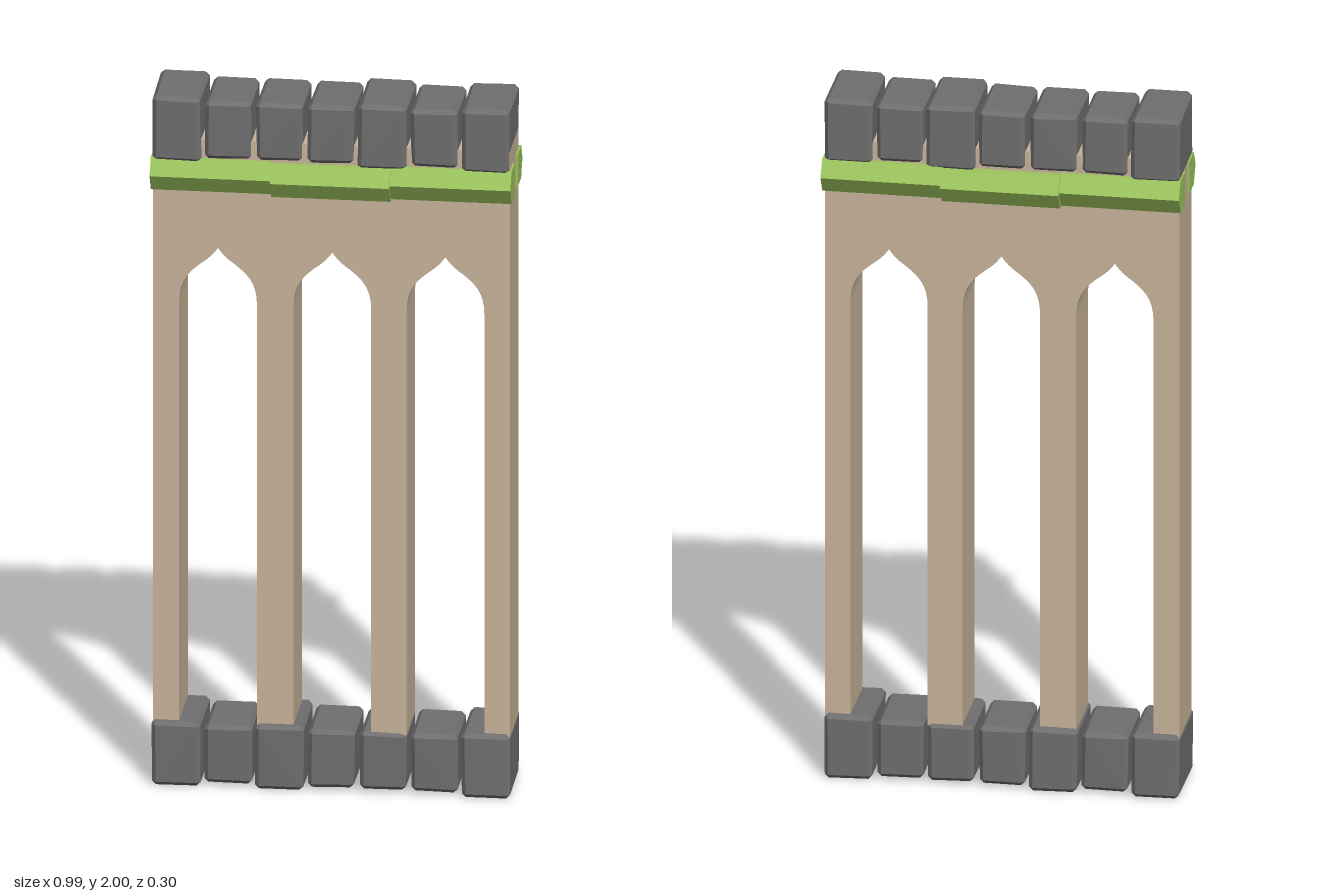
import * as THREE from 'three';
import { ConvexGeometry } from 'three/addons/geometries/ConvexGeometry.js';

const mat = (name, color) => Object.assign(new THREE.MeshStandardMaterial({ color }), { name });

export function createModel() {
  const model = new THREE.Group();
  model.name = 'archedWall';
  const sand = mat('sandstone', 0xc9b49a);
  const stone = mat('greyStone', 0x6f6f6f);
  const green = mat('greenTrim', 0x9dc45e);

  const add = (name, geometry, material, parent = model) => {
    const mesh = new THREE.Mesh(geometry, material);
    mesh.name = name;
    parent.add(mesh);
    return mesh;
  };

  // Small seeded noise for the hewn stones
  let seed = 7;
  const noise = (amount) => {
    seed = (seed * 16807) % 2147483647;
    return (seed / 2147483647 - 0.5) * 2 * amount;
  };

  // Wall: outline that runs down and up around three pointed openings
  const top = 1.875, foot = 0.17, half = 0.107;
  const wall = new THREE.Shape();
  wall.moveTo(-0.492, top);
  wall.lineTo(-0.492, foot);
  for (const cx of [-0.313, 0.001, 0.312]) {
    wall.lineTo(cx - half, foot);
    wall.lineTo(cx - half, 1.4);
    wall.bezierCurveTo(cx - half, 1.47, cx - 0.075, 1.492, cx - 0.048, 1.515);
    wall.quadraticCurveTo(cx - 0.018, 1.535, cx, 1.562);
    wall.quadraticCurveTo(cx + 0.018, 1.535, cx + 0.048, 1.515);
    wall.bezierCurveTo(cx + 0.075, 1.492, cx + half, 1.47, cx + half, 1.4);
    wall.lineTo(cx + half, foot);
  }
  wall.lineTo(0.489, foot);
  wall.lineTo(0.489, top);
  const wallGeometry = new THREE.ExtrudeGeometry(wall, { depth: 0.196, bevelEnabled: false, curveSegments: 8 });
  wallGeometry.translate(0, 0, -0.098);
  add('wall', wallGeometry, sand);

  // Chamfered block with slightly uneven corners
  const stoneGeometry = (w, h, d) => {
    const points = [], c = 0.011;
    for (const sx of [-1, 1]) for (const sy of [-1, 1]) for (const sz of [-1, 1]) {
      const x = w / 2 - Math.abs(noise(0.004));
      const y = h / 2 - Math.abs(noise(0.003));
      const z = d / 2 - Math.abs(noise(0.004));
      points.push(
        new THREE.Vector3(sx * x, sy * (y - c), sz * (z - c)),
        new THREE.Vector3(sx * (x - c), sy * y, sz * (z - c)),
        new THREE.Vector3(sx * (x - c), sy * (y - c), sz * z));
    }
    return new ConvexGeometry(points);
  };

  // Rows of seven stones, some larger than the rest
  const stoneRow = (name, y, large) => {
    const row = new THREE.Group();
    row.name = name;
    for (let i = 0; i < 7; i++) {
      const big = large.includes(i);
      const geometry = stoneGeometry(big ? 0.137 : 0.132, big ? 0.188 : 0.17, big ? 0.236 : 0.22);
      add('stone', geometry, stone, row).position.set(-0.427 + i * 0.1417, y, 0);
    }
    model.add(row);
  };
  stoneRow('baseStones', 0.094, [0, 2, 6]);
  stoneRow('topStones', 1.906, [0, 4, 6]);

  // Pointed ledge on both faces, its middle length standing proud
  const ledge = (x0, x1, y, z, side) => {
    const profile = new THREE.Shape([
      [0.034, 0.047], [z - 0.028, 0.047], [z, 0.001], [z - 0.03, -0.047], [0.034, -0.047],
    ].map(([pz, py]) => new THREE.Vector2(pz, py)));
    const geometry = new THREE.ExtrudeGeometry(profile, { depth: x1 - x0, bevelEnabled: false });
    geometry.translate(0, 0, (x0 - x1) / 2);
    const mesh = add('ledge', geometry, green);
    mesh.rotation.y = -side * Math.PI / 2;
    mesh.position.set((x0 + x1) / 2, y, 0);
  };
  for (const side of [1, -1]) {
    const z = side > 0 ? 0.135 : 0.139;
    ledge(-0.497, -0.165, 1.774, z, side);
    ledge(-0.165, 0.163, 1.77, z + 0.011, side);
    ledge(0.163, 0.495, 1.774, z, side);
  }
  return model;
}
